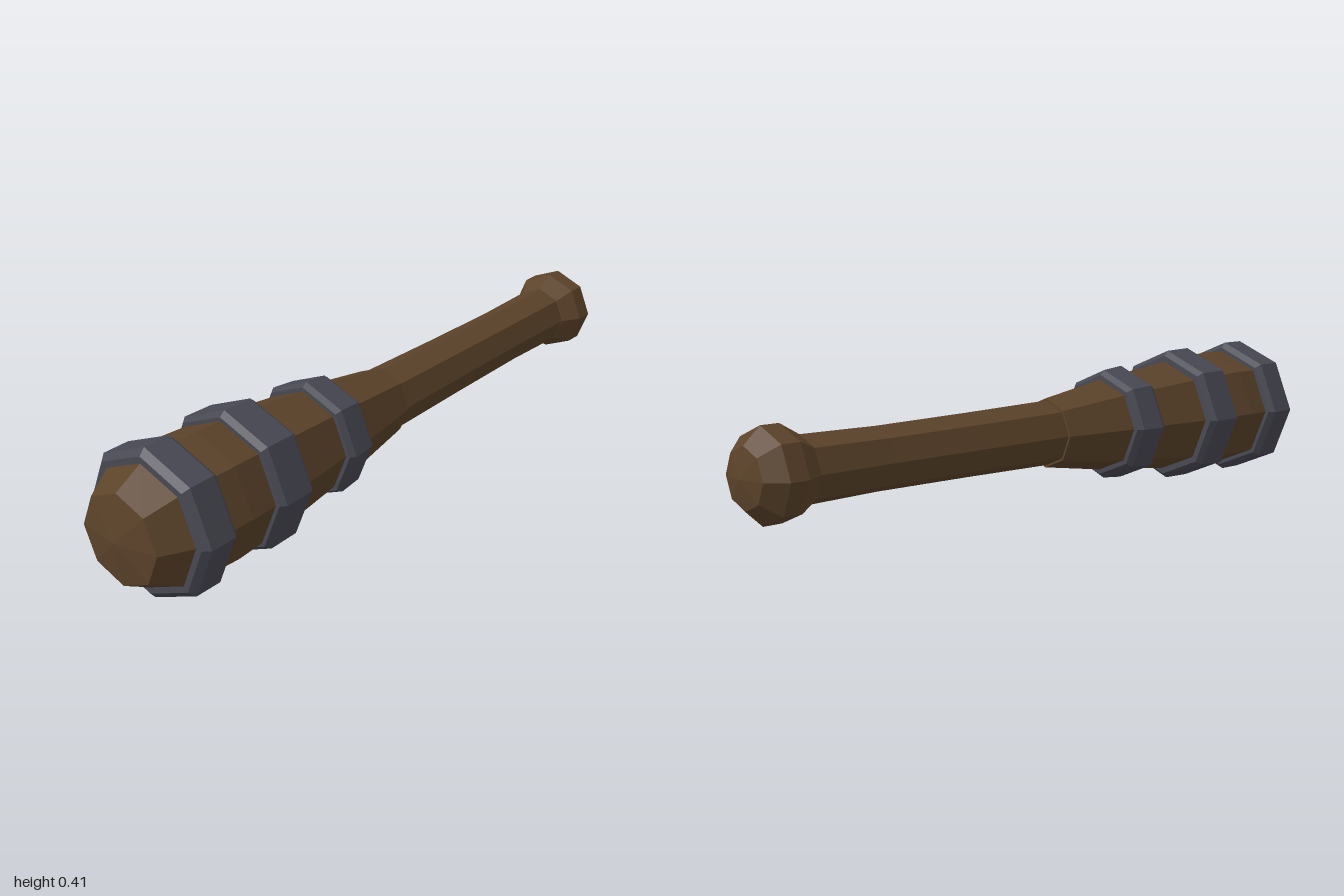
import * as THREE from 'three';

const SIDES = 8;
const AXIS_Y = 0.203;

// Faceted octagonal solid turned around the z axis from [z, radius] pairs (back to front)
function turned(name, profile, material) {
  const points = profile.map(([z, r]) => new THREE.Vector2(r, z));
  const geometry = new THREE.LatheGeometry(points, SIDES).toNonIndexed();
  geometry.computeVertexNormals();
  geometry.rotateX(Math.PI / 2);
  const mesh = new THREE.Mesh(geometry, material);
  mesh.name = name;
  mesh.position.y = AXIS_Y;
  return mesh;
}

// Closed ring with bevelled edges, following the taper of the head
function band(name, [z0, inner0, edge0, r0], [z1, inner1, edge1, r1], material) {
  const bevel = 0.016;
  return turned(name, [
    [z0, inner0], [z0, edge0], [z0 + bevel, r0],
    [z1 - bevel, r1], [z1, edge1], [z1, inner1], [z0, inner0],
  ], material);
}

export function createModel() {
  const wood = new THREE.MeshStandardMaterial({ color: 0x5c432a });
  wood.name = 'brown wood';
  const iron = new THREE.MeshStandardMaterial({ color: 0x484853 });
  iron.name = 'dark iron';

  const club = new THREE.Group();
  club.name = 'club';

  // Rounded pommel at the back end
  club.add(turned('pommel', [
    [-1, 0], [-0.985, 0.078], [-0.938, 0.121], [-0.885, 0.121], [-0.83, 0.089], [-0.83, 0],
  ], wood));

  // Slim grip, slightly waisted
  club.add(turned('grip', [
    [-0.83, 0], [-0.83, 0.088], [-0.6, 0.084], [-0.3, 0.087], [0.01, 0.092], [0.01, 0],
  ], wood));

  // Swelling head with a domed tip
  club.add(turned('head', [
    [0, 0], [0, 0.098], [0.22, 0.132], [0.51, 0.164], [0.63, 0.174], [0.72, 0.179],
    [0.8, 0.176], [0.9, 0.167], [0.98, 0.123], [1, 0],
  ], wood));

  // Three iron bands: [z, inner radius, edge radius, outer radius] at each end
  club.add(band('rearBand', [0.225, 0.12, 0.146, 0.159], [0.33, 0.13, 0.156, 0.166], iron));
  club.add(band('middleBand', [0.51, 0.15, 0.182, 0.196], [0.635, 0.16, 0.185, 0.198], iron));
  club.add(band('frontBand', [0.79, 0.16, 0.188, 0.203], [0.9, 0.155, 0.185, 0.203], iron));

  return club;
}
